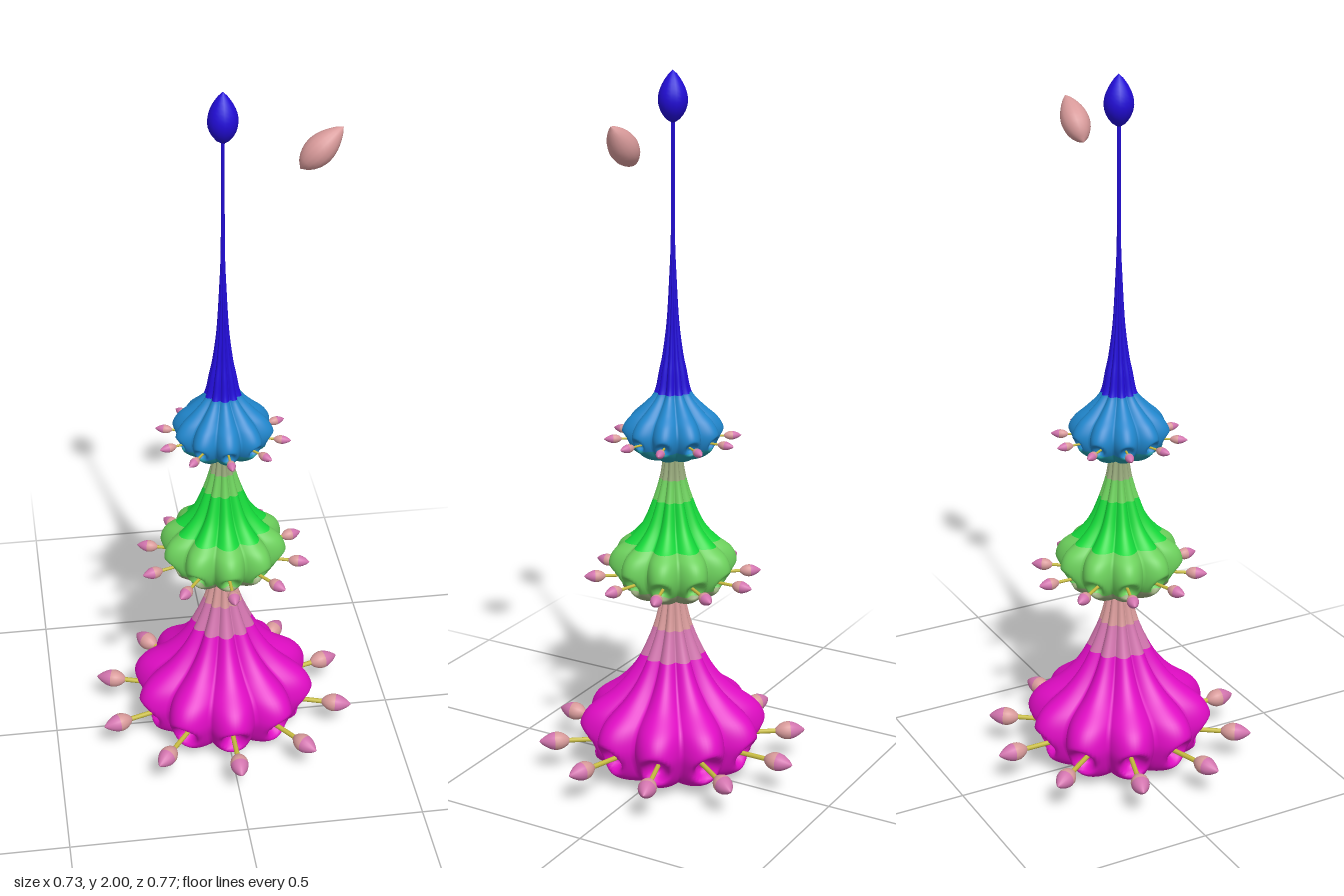
import * as THREE from 'three';

const mat = (name, color) => {
  const m = new THREE.MeshStandardMaterial({ color, side: THREE.DoubleSide });
  m.name = name;
  return m;
};

// Stacked profile [radius, y] turned into a bell with ten lobes; bands = [topY, material]
function lobedBell(name, profile, bands, lobeDepth, dimple, rows = 90) {
  const seg = 160;
  const pts = new THREE.SplineCurve(profile.map(p => new THREE.Vector2(...p))).getPoints(rows);
  const pos = [], idx = [];
  const geo = new THREE.BufferGeometry();
  for (const p of pts) {
    for (let j = 0; j < seg; j++) {
      const a = (j / seg) * Math.PI * 2;
      const rBase = Math.max(p.x, 0);
      let r = rBase * (1 - lobeDepth * (1 - Math.abs(Math.cos(5 * a))));
      // hollow at the middle of each lobe where a stamen comes out
      const step = Math.PI / 5;
      const da = (a - Math.round(a / step) * step) * rBase;
      const d2 = (da * da + (p.y - dimple.y) ** 2) / (dimple.size ** 2);
      r -= dimple.depth * Math.exp(-d2 * d2) * (rBase > dimple.minR ? 1 : 0);
      pos.push(r * Math.sin(a), p.y, r * Math.cos(a));
    }
  }
  let start = 0, current = -1;
  for (let i = 0; i < rows; i++) {
    const mid = (pts[i].y + pts[i + 1].y) / 2;
    const found = bands.findIndex(b => mid < b[0]);
    const band = found < 0 ? bands.length - 1 : found;
    if (band !== current) {
      if (current >= 0) geo.addGroup(start, idx.length - start, current);
      start = idx.length;
      current = band;
    }
    for (let j = 0; j < seg; j++) {
      const k = (j + 1) % seg, a = i * seg, b = a + seg;
      idx.push(a + j, a + k, b + k, a + j, b + k, b + j);
    }
  }
  geo.addGroup(start, idx.length - start, current);
  geo.setAttribute('position', new THREE.Float32BufferAttribute(pos, 3));
  geo.setIndex(idx);
  geo.computeVertexNormals();
  const mesh = new THREE.Mesh(geo, bands.map(b => b[1]));
  mesh.name = name;
  return mesh;
}

// Part of a pointed bud along +y, from t0 to t1 of its length
function budPart(name, length, radius, t0, t1, material) {
  const pts = [];
  for (let i = 0; i <= 12; i++) {
    const t = t0 + (t1 - t0) * i / 12;
    pts.push(new THREE.Vector2(radius * Math.pow(Math.sin(Math.PI * Math.pow(t, 0.85)), 0.8) || 0, t * length));
  }
  pts.forEach(p => { p.x = Math.max(p.x, 0); });
  const mesh = new THREE.Mesh(new THREE.LatheGeometry(pts, 16), material);
  mesh.name = name;
  return mesh;
}

// Ring of ten stamens pointing outward
function stamenRing(name, y, inner, budStart, tip, radius, m) {
  const ring = new THREE.Group();
  ring.name = name;
  const stalkLen = budStart - inner + 0.01, len = tip - budStart;
  for (let i = 0; i < 10; i++) {
    const stamen = new THREE.Group();
    stamen.name = 'stamen';
    const stalk = new THREE.Mesh(new THREE.CylinderGeometry(radius * 0.27, radius * 0.27, stalkLen, 8), m.yellow);
    stalk.name = 'stalk';
    stalk.position.y = inner + stalkLen / 2;
    const base = budPart('budBase', len, radius, 0, 0.5, m.tan);
    const end = budPart('budTip', len, radius, 0.5, 1, m.pink);
    base.position.y = end.position.y = budStart;
    stamen.add(stalk, base, end);
    stamen.rotation.set(Math.PI / 2, 0, 0);
    const pivot = new THREE.Group();
    pivot.name = 'stamenPivot';
    pivot.rotation.y = i * Math.PI / 5;
    pivot.position.y = y;
    pivot.add(stamen);
    ring.add(pivot);
  }
  return ring;
}

export function createModel() {
  const m = {
    magenta: mat('magenta', 0xe00cc4), pink: mat('pink', 0xd274ae), tan: mat('dusty rose', 0xd89a9a),
    yellow: mat('yellow', 0xc8bc40), khaki: mat('grey green', 0x98aa7c), light: mat('light green', 0x6cd05c),
    green: mat('bright green', 0x14d83a), sky: mat('sky blue', 0x2086cc), teal: mat('teal', 0x2094a4),
    blue: mat('deep blue', 0x220cd8),
  };
  const g = new THREE.Group();
  g.name = 'flowerTower';

  // Three bells, bottom to top
  g.add(lobedBell('lowerBell', [
    [0, 0.03], [0.04, 0.012], [0.1, 0.004], [0.17, 0.02], [0.225, 0.05], [0.258, 0.1], [0.268, 0.145],
    [0.245, 0.195], [0.175, 0.25], [0.128, 0.3], [0.092, 0.36], [0.054, 0.45], [0.03, 0.55],
  ], [[0.36, m.magenta], [0.45, m.pink], [1, m.tan]], 0.2, { y: 0.1, size: 0.036, depth: 0.06, minR: 0.18 }));
  g.add(lobedBell('middleBell', [
    [0.025, 0.535], [0.07, 0.538], [0.115, 0.55], [0.15, 0.575], [0.174, 0.605], [0.18, 0.64],
    [0.165, 0.675], [0.122, 0.71], [0.085, 0.755], [0.057, 0.82], [0.036, 0.89], [0.026, 0.96],
  ], [[0.58, m.khaki], [0.7, m.light], [0.82, m.green], [0.88, m.light], [1, m.khaki]],
  0.2, { y: 0.6, size: 0.024, depth: 0.04, minR: 0.12 }));
  g.add(lobedBell('upperBell', [
    [0.02, 0.945], [0.06, 0.946], [0.095, 0.958], [0.122, 0.98], [0.138, 1.005], [0.139, 1.03],
    [0.122, 1.058], [0.092, 1.085], [0.062, 1.115], [0.048, 1.14], [0.038, 1.19], [0.028, 1.24], [0.017, 1.33],
    [0.01, 1.45], [0.006, 1.55], [0.005, 1.7], [0.005, 1.88],
  ], [[0.985, m.teal], [1.13, m.sky], [2, m.blue]], 0.2, { y: 1.0, size: 0.016, depth: 0.025, minR: 0.09 }, 140));

  // Stamens around each bell
  g.add(stamenRing('lowerStamens', 0.1, 0.17, 0.295, 0.385, 0.026, m));
  g.add(stamenRing('middleStamens', 0.6, 0.11, 0.188, 0.25, 0.017, m));
  g.add(stamenRing('upperStamens', 1.0, 0.09, 0.14, 0.19, 0.012, m));

  // Bud on top of the spire
  const top = budPart('topBud', 0.14, 0.04, 0, 1, m.blue);
  top.position.y = 1.86;
  g.add(top);

  // Loose seed floating beside the spire
  const seed = budPart('floatingSeed', 0.155, 0.039, 0, 1, m.tan);
  seed.rotation.z = -Math.PI / 4;
  seed.position.set(0.2, 1.78, 0);
  g.add(seed);
  return g;
}
